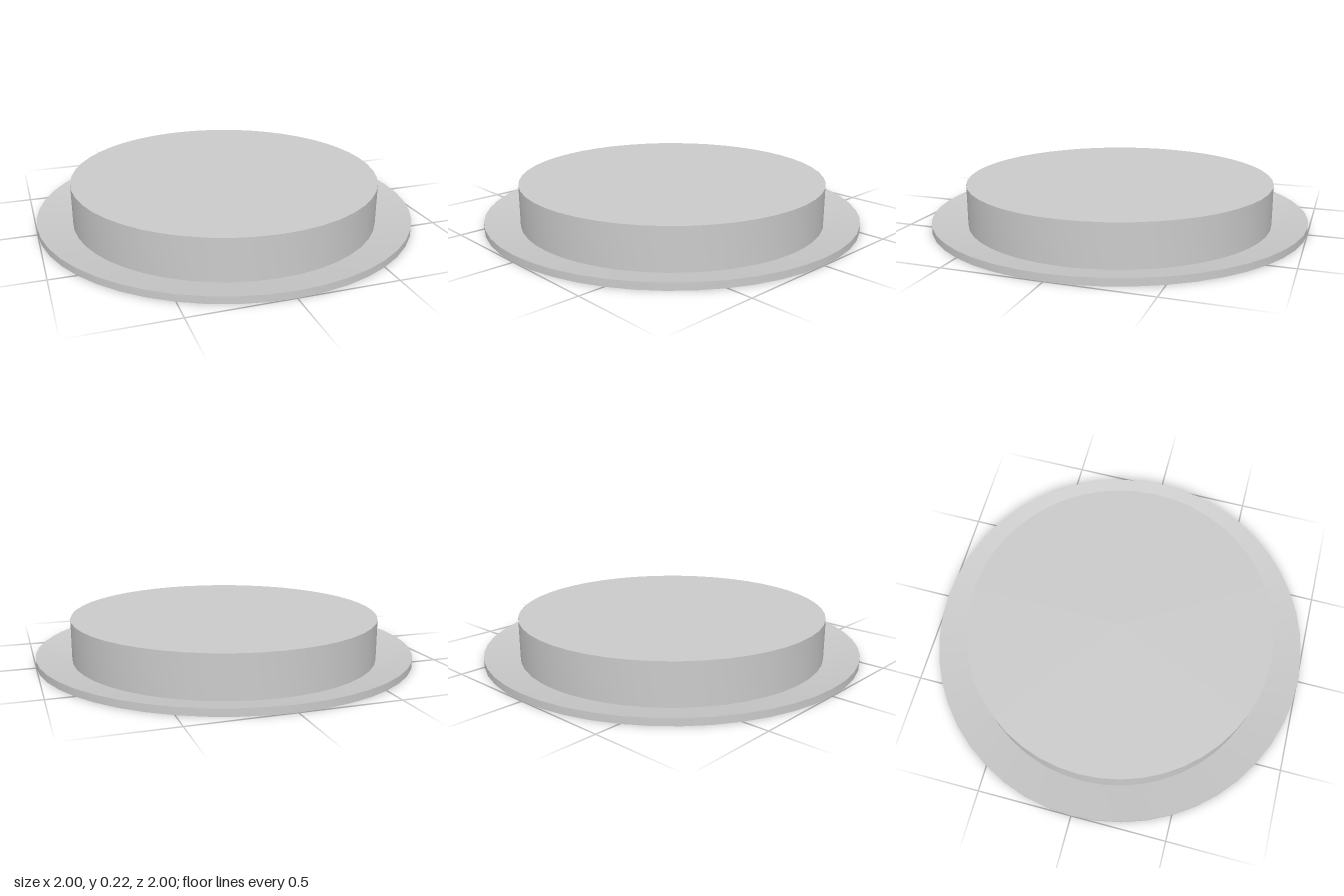
import * as THREE from 'three';
import { toCreasedNormals } from 'three/addons/utils/BufferGeometryUtils.js';

const SIDES = 48;

// Revolves a profile of [radius, height] points, keeping its corners sharp
function turned(name, profile) {
  const points = profile.map(([r, y]) => new THREE.Vector2(r, y));
  const geometry = toCreasedNormals(new THREE.LatheGeometry(points, SIDES), 0.18);
  const material = new THREE.MeshStandardMaterial({ color: 0xcccccc, side: THREE.DoubleSide });
  const mesh = new THREE.Mesh(geometry, material);
  mesh.name = name;
  return mesh;
}

export function createModel() {
  const group = new THREE.Group();
  group.name = 'flangedCap';

  const outer = 1, inner = 0.815, rim = 0.037, top = 0.22, recess = 0.015;

  // Round plug: slightly recessed underside, straight wall, flat top
  group.add(turned('plug', [
    [0, recess], [inner, recess], [inner, 0.001], [inner, top], [0, top],
  ].filter((p, i) => i !== 1 && i !== 0)));

  // Underside disc, set just above the bottom edge of the wall
  group.add(turned('undersideDisc', [[0, recess], [inner, recess]]));

  // Flange: flat below, top face dished down towards the plug
  group.add(turned('flange', [
    [inner, 0], [outer, 0], [outer, rim], [inner, 0.002],
  ]));

  return group;
}
